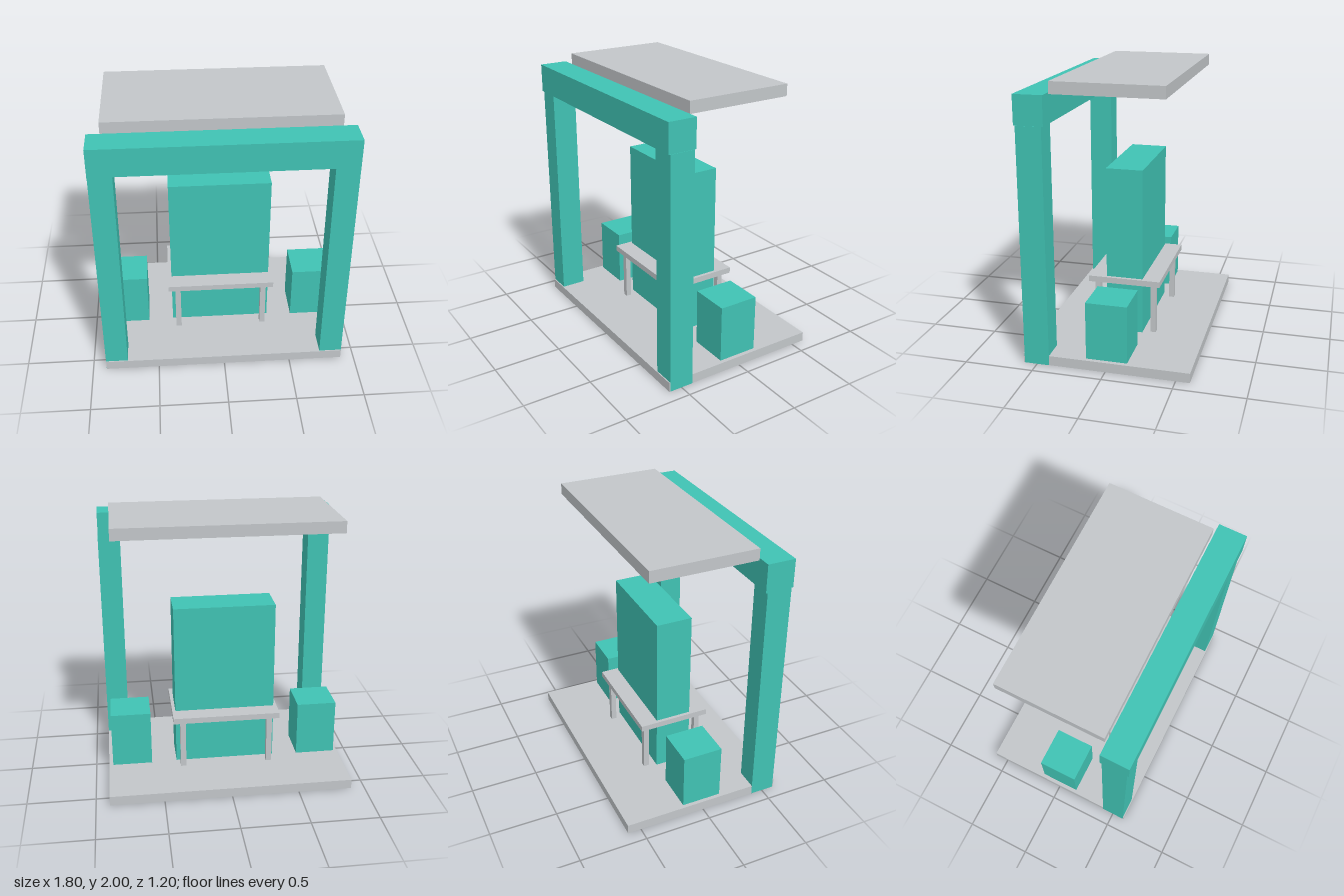
import * as THREE from 'three';

export function createModel() {
  const group = new THREE.Group();
  const teal = new THREE.MeshStandardMaterial({ color: 0x40c2b3 });
  teal.name = 'teal';
  const grey = new THREE.MeshStandardMaterial({ color: 0xc2c6c9 });
  grey.name = 'light grey';

  // Box given by its extents along each axis
  function box(name, material, [x0, x1], [y0, y1], [z0, z1]) {
    const mesh = new THREE.Mesh(new THREE.BoxGeometry(x1 - x0, y1 - y0, z1 - z0), material);
    mesh.position.set((x0 + x1) / 2, (y0 + y1) / 2, (z0 + z1) / 2);
    mesh.name = name;
    group.add(mesh);
  }

  // Floor and floating roof
  box('floorSlab', grey, [-0.899, 0.899], [0.001, 0.072], [-0.6, 0.6]);
  box('roofPanel', grey, [-0.81, 0.806], [1.915, 2], [-0.393, 0.387]);

  // Front gate: two posts through the floor and a beam
  box('gateBeam', teal, [-0.9, 0.897], [1.715, 1.923], [0.397, 0.604]);
  box('leftPost', teal, [0.732, 0.9], [0, 1.715], [0.41, 0.592]);
  box('rightPost', teal, [-0.9, -0.735], [0, 1.715], [0.41, 0.592]);

  // Central panel, standing through the floor and the table
  box('centralPanel', teal, [-0.38, 0.377], [0, 1.323], [-0.138, 0.133]);

  // Side seats
  box('leftSeat', teal, [0.568, 0.868], [0.07, 0.495], [-0.151, 0.146]);
  box('rightSeat', teal, [-0.871, -0.571], [0.07, 0.495], [-0.151, 0.146]);

  // Table around the panel
  box('tableTop', grey, [-0.405, 0.402], [0.455, 0.499], [-0.271, 0.265]);
  for (const x of [-0.334, 0.329]) {
    for (const z of [-0.213, 0.21]) {
      box('tableLeg', grey, [x - 0.021, x + 0.021], [0.07, 0.456], [z - 0.02, z + 0.02]);
    }
  }
  return group;
}
